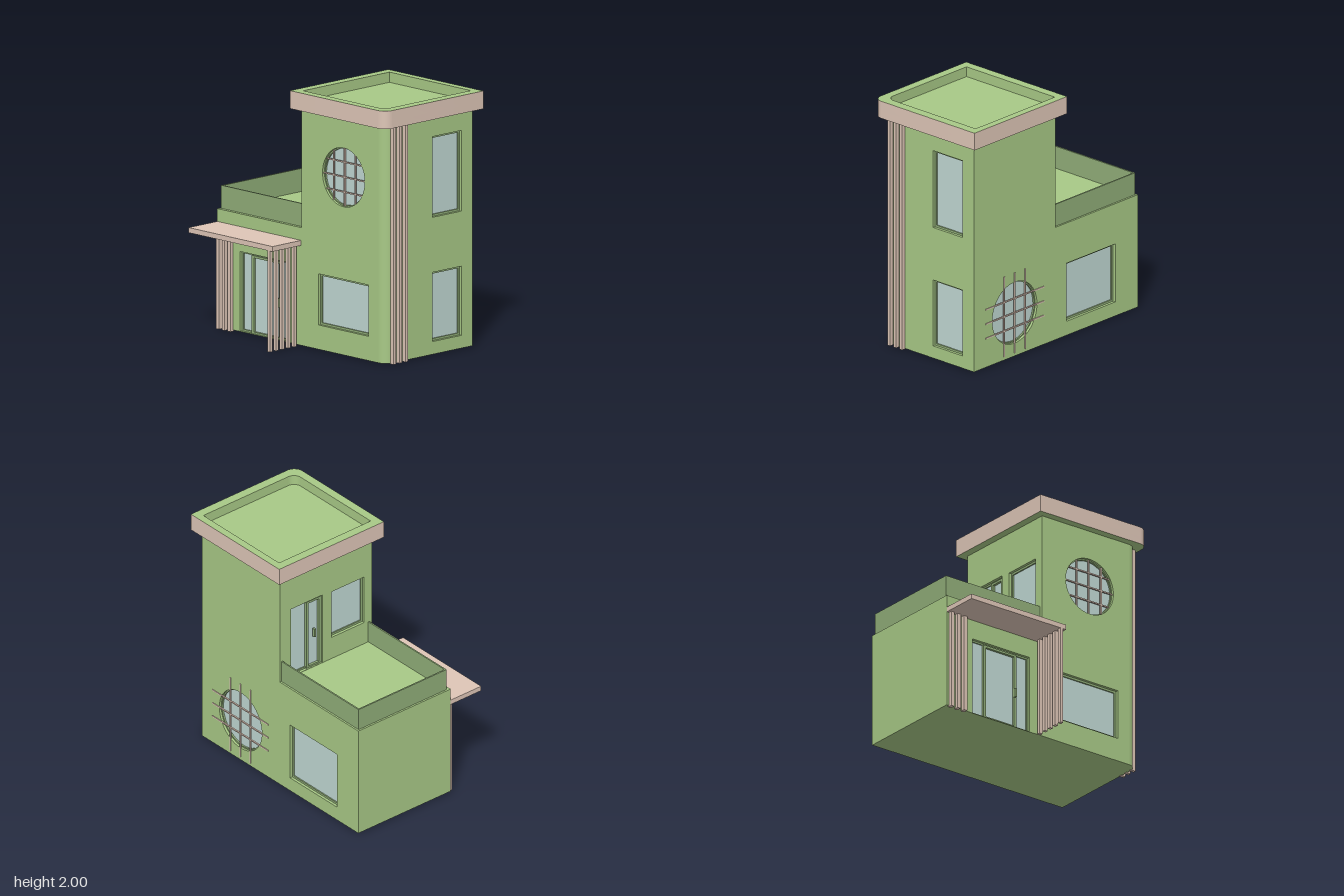
import * as THREE from 'three';
import { toCreasedNormals } from 'three/addons/utils/BufferGeometryUtils.js';

const mat = (color) => new THREE.MeshStandardMaterial({ color });
const green = mat(0xa8c986), darkGreen = mat(0x90ad78), pink = mat(0xdec6b7), glass = mat(0xc0d8d3);
const T = 0.04; // wall thickness, also the depth of the window recesses

function add(parent, name, geometry, material) {
  const mesh = new THREE.Mesh(geometry, material);
  mesh.name = name;
  parent.add(mesh);
  return mesh;
}

// Box given by its limits on each axis
function box(parent, name, material, x0, x1, y0, y1, z0, z1) {
  const mesh = add(parent, name, new THREE.BoxGeometry(x1 - x0, y1 - y0, z1 - z0), material);
  mesh.position.set((x0 + x1) / 2, (y0 + y1) / 2, (z0 + z1) / 2);
  return mesh;
}

function rect(x0, x1, y0, y1) {
  return new THREE.Shape([[x0, y0], [x1, y0], [x1, y1], [x0, y1]].map((p) => new THREE.Vector2(...p)));
}

function circle(x, y, r) {
  return new THREE.Shape().absarc(x, y, r, 0, Math.PI * 2);
}

function extrude(shape, holes, depth) {
  const s = shape.clone();
  s.holes = holes;
  const g = new THREE.ExtrudeGeometry(s, { depth, bevelEnabled: false, curveSegments: 24 });
  return toCreasedNormals(g, 0.6);
}

// Wall panel facing local +z, turned to its side of the house; openings are cut through it
function wall(parent, name, turn, dist, limits, openings = []) {
  const group = new THREE.Group();
  group.name = name;
  group.rotation.y = turn;
  parent.add(group);
  const holes = openings.map((o) => (o.r ? circle(o.x, o.y, o.r) : rect(...o.rect)));
  add(group, name + 'Panel', extrude(rect(...limits), holes, T), green).position.z = dist - T;
  openings.forEach((o) => (o.r ? roundWindow(group, o, dist) : o.door ? door(group, o, dist) : squareWindow(group, o, dist)));
}

function squareWindow(group, { rect: [x0, x1, y0, y1] }, dist, b = 0.017) {
  const inner = [x0 + b, x1 - b, y0 + b, y1 - b];
  add(group, 'windowFrame', extrude(rect(x0, x1, y0, y1), [rect(...inner)], 0.018), darkGreen).position.z = dist - T;
  box(group, 'windowGlass', glass, ...inner, dist - T, dist - T + 0.008);
}

// Round window with a lattice; long bars sit proud of the wall, short ones end at the rim
function roundWindow(group, { x, y, r, step, reach }, dist) {
  const rim = extrude(circle(x, y, r), [circle(x, y, r - 0.01)], 0.02);
  add(group, 'roundFrame', rim, darkGreen).position.z = dist - T;
  add(group, 'roundGlass', extrude(circle(x, y, r - 0.005), [], 0.006), glass).position.z = dist - T;
  const z0 = reach ? dist - 0.006 : dist - 0.018, z1 = z0 + 0.012, h = 0.005;
  for (const i of [-1, 0, 1]) {
    const d = i * step, len = reach || Math.sqrt(r * r - d * d) - 0.004;
    box(group, 'verticalBar', pink, x + d - h, x + d + h, y - len, y + len, z0, z1);
    box(group, 'horizontalBar', pink, x - len, x + len, y + d - h, y + d + h, z0, z1);
  }
}

// Glazed door: frame, fixed panes, a framed leaf and a handle
function door(group, { rect: [x0, x1, y0, y1], door: [l0, l1], handle: [hx, hy] }, dist) {
  squareWindow(group, { rect: [x0, x1, y0, y1] }, dist, 0.014);
  const z = dist - T;
  const leaf = extrude(rect(l0, l1, y0, y1 - 0.012), [rect(l0 + 0.024, l1 - 0.024, y0 + 0.014, y1 - 0.03)], 0.028);
  add(group, 'doorLeaf', leaf, darkGreen).position.z = z;
  box(group, 'doorHandle', darkGreen, hx - 0.008, hx + 0.008, hy - 0.035, hy + 0.035, z + 0.02, z + 0.045);
}

// Plan outline with the front left corner rounded, drawn as (x, -z)
function roofPlan(x0, x1, z0, z1, r) {
  const s = new THREE.Shape();
  s.moveTo(x0, -z1);
  s.lineTo(x1 - r, -z1);
  s.absarc(x1 - r, -z1 + r, r, -Math.PI / 2, 0);
  s.lineTo(x1, -z0);
  s.lineTo(x0, -z0);
  s.closePath();
  return s;
}

function roofLayer(parent, name, shape, holes, y0, y1, materials) {
  const mesh = add(parent, name, extrude(shape, holes, y1 - y0), materials);
  mesh.rotation.x = -Math.PI / 2;
  mesh.position.y = y0;
}

export function createModel() {
  const model = new THREE.Group();
  model.name = 'house';
  const F = 0.34, B = 0.585, L = 0.885, R = -0.95, M = -0.03; // wall planes
  const y0 = 0.01, low = 0.93, high = 1.86, rad = 0.08;
  const H = Math.PI / 2;

  // Solid cores behind the wall panels
  box(model, 'towerCore', green, M + T, L - T, y0, high, -B + T, F - T);
  box(model, 'wingCore', green, R + T, M + T, y0, low, -B + T, F - T);

  // Tower walls and the rounded corner
  wall(model, 'towerFront', 0, F, [M, L - rad, y0, high], [
    { rect: [0.155, 0.7, 0.2, 0.6] },
    { x: 0.428, y: 1.397, r: 0.23, step: 0.117 },
  ]);
  wall(model, 'towerSide', H, L, [-F + rad, B, y0, high], [
    { rect: [0.16, 0.467, 0.11, 0.65] },
    { rect: [0.16, 0.467, 1.08, 1.71] },
  ]);
  wall(model, 'towerBack', Math.PI, B, [-L, -M, y0, high], [
    { x: -0.43, y: 0.365, r: 0.25, step: 0.118, reach: 0.328 },
  ]);
  wall(model, 'terraceWall', -H, -M, [-B, F, low, high], [
    { rect: [-0.475, -0.16, low + 0.003, 1.54], door: [-0.31, -0.16], handle: [-0.235, 1.23] },
    { rect: [-0.07, 0.26, 1.12, 1.53] },
  ]);
  const corner = add(model, 'roundedCorner', new THREE.CylinderGeometry(rad, rad, high - y0, 48), green);
  corner.position.set(L - rad, (high + y0) / 2, F - rad);

  // Low wing walls
  wall(model, 'wingFront', 0, F, [R, M, y0, low], [
    { rect: [-0.7, -0.15, y0 + 0.003, 0.635], door: [-0.587, -0.267], handle: [-0.287, 0.3] },
  ]);
  wall(model, 'wingBack', Math.PI, B, [-M, -R, y0, low], [{ rect: [0.15, 0.697, 0.125, 0.6] }]);
  wall(model, 'wingSide', -H, -R, [-B, F, y0, low]);

  // Terrace parapet
  const px = -0.935, pz0 = -0.57, pz1 = 0.312, p = 0.012, top = 1.11;
  box(model, 'parapetSide', darkGreen, px, px + p, low, top, pz0, pz1);
  box(model, 'parapetFront', darkGreen, px + p, M, low, top, pz1 - p, pz1);
  box(model, 'parapetBack', darkGreen, px + p, M, low, top, pz0, pz0 + p);

  // Roof slab with a sunken top
  const outer = roofPlan(-0.093, 0.943, -0.645, 0.403, 0.08);
  const recess = roofPlan(-0.023, 0.87, -0.588, 0.336, 0.07);
  const lining = roofPlan(-0.02, 0.867, -0.585, 0.333, 0.067);
  roofLayer(model, 'roofSlab', outer, [], high, 1.92, [green, pink]);
  roofLayer(model, 'roofRim', outer, [recess], 1.92, 2, [green, pink]);
  roofLayer(model, 'roofLining', recess, [lining], 1.92, 2, green);

  // Entrance canopy with its slats
  box(model, 'canopy', pink, -0.95, -0.035, 0.79, 0.83, F, 0.645);
  for (let i = 0; i < 5; i++) {
    const z = 0.63 - i * 0.064;
    box(model, 'canopySlat', pink, -0.092, -0.064, 0, 0.79, z - 0.015, z + 0.015);
  }
  for (let i = 0; i < 3; i++) {
    const x = -0.915 + i * 0.062;
    box(model, 'wallSlat', pink, x - 0.015, x + 0.015, 0, 0.79, F - 0.01, F + 0.03);
    // Tall slats on the tower side
    const z = 0.272 - i * 0.063;
    box(model, 'towerSlat', pink, L - 0.01, L + 0.03, 0.005, high, z - 0.013, z + 0.013);
  }
  return model;
}
